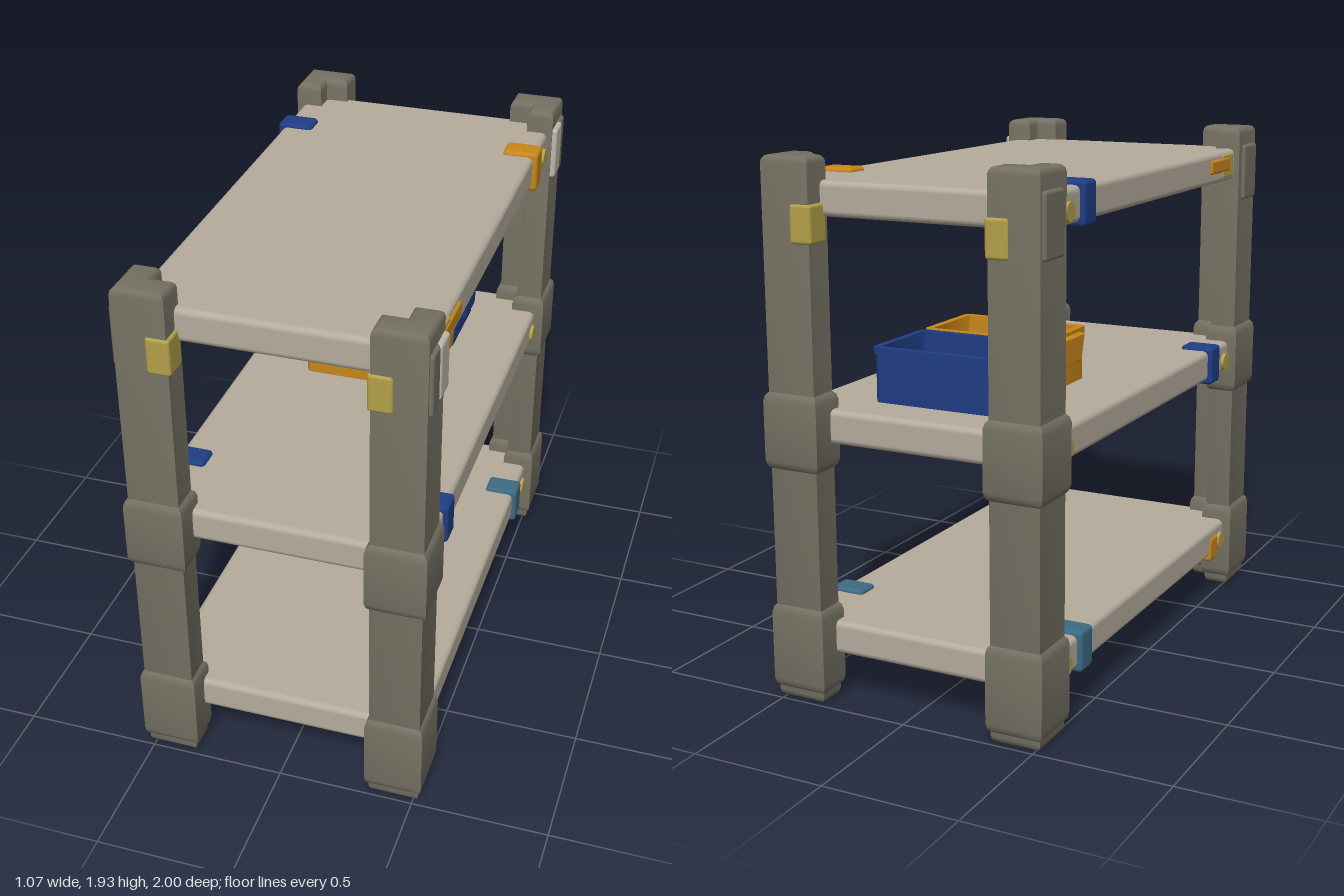
import * as THREE from 'three';
import { RoundedBoxGeometry } from 'three/addons/geometries/RoundedBoxGeometry.js';
import { toCreasedNormals } from 'three/addons/utils/BufferGeometryUtils.js';

const material = (name, color) => Object.assign(new THREE.MeshStandardMaterial({ color }), { name });

export function createModel() {
  const model = new THREE.Group();
  model.name = 'shelvingUnit';
  const postGrey = material('postGrey', 0x747062);
  const shelfGrey = material('shelfGrey', 0xb5ac9d);
  const plateGrey = material('plateGrey', 0xbfb8ab);
  const orange = material('orange', 0xc8871a);
  const blue = material('blue', 0x1f3d85);
  const steelBlue = material('steelBlue', 0x3d6a85);
  const yellow = material('yellow', 0xb3a04a);

  const add = (parent, name, geometry, mat, x = 0, y = 0, z = 0) => {
    const mesh = new THREE.Mesh(geometry, mat);
    mesh.name = name;
    mesh.position.set(x, y, z);
    parent.add(mesh);
    return mesh;
  };
  const box = (parent, name, mat, size, pos, radius = 0.012) =>
    add(parent, name, new RoundedBoxGeometry(...size, 2, radius), mat, ...pos);

  // Upright length of L-section with softened edges; swell widens it into a sleeve
  const angleSection = (sx, sz, y0, y1, swell, chamfer) => {
    const b = 0.022;
    const points = [
      [0.52 - b, 0.985 - b], [0.335 + b, 0.985 - b], [0.335 + b, 0.875 + b],
      [0.42 + b, 0.875 + b], [0.42 + b, 0.8 + b], [0.52 - b, 0.8 + b],
    ].map(([x, z]) => new THREE.Vector2(sx * x, -sz * z));
    const geometry = new THREE.ExtrudeGeometry(new THREE.Shape(points), {
      depth: y1 - y0 - 2 * chamfer, bevelEnabled: true,
      bevelSize: b + swell, bevelThickness: chamfer, bevelSegments: 3,
    });
    geometry.rotateX(-Math.PI / 2).translate(0, y0 + chamfer, 0);
    return toCreasedNormals(geometry, 0.7);
  };

  // Four corner posts with sleeves at the shelf joints
  for (const sx of [-1, 1]) for (const sz of [-1, 1]) {
    const post = new THREE.Group();
    post.name = 'cornerPost';
    add(post, 'upright', angleSection(sx, sz, 0, 1.93, 0, 0.025), postGrey);
    add(post, 'footSleeve', angleSection(sx, sz, 0.03, 0.36, 0.013, 0.04), postGrey);
    add(post, 'middleSleeve', angleSection(sx, sz, 0.84, 1.13, 0.015, 0.04), postGrey);
    box(post, 'topSleeve', postGrey, [0.04, 0.22, 0.14], [sx * 0.513, 1.75, sz * 0.905]);
    box(post, 'postBracket', yellow, [0.085, 0.135, 0.1], [sx * 0.367, 1.705, sz * 0.942]);
    if (sx > 0) box(post, 'sidePlate', plateGrey, [0.03, 0.2, 0.1], [0.524, 1.76, sz * 0.855]);
    model.add(post);
  }

  // Shelves: a thin panel framed by four rails, hollow underneath
  const levels = [0.23, 1.0, 1.785];
  for (const y of levels) {
    const shelf = new THREE.Group();
    shelf.name = 'shelf';
    box(shelf, 'panel', shelfGrey, [0.94, 0.035, 1.76], [0, y + 0.043, 0], 0.01);
    for (const s of [-1, 1]) {
      box(shelf, 'sideRail', shelfGrey, [0.06, 0.122, 1.78], [s * 0.468, y, 0], 0.022);
      box(shelf, 'endRail', shelfGrey, [0.86, 0.122, 0.06], [0, y, s * 0.883], 0.022);
      // Small pins beside the posts
      for (const end of [-1, 1]) {
        if (y > 1.5 && end > 0) continue;
        const pin = add(shelf, 'railPin', new THREE.CylinderGeometry(0.033, 0.036, 0.016, 12),
          yellow, s * 0.502, y - 0.015, end * 0.745);
        pin.rotation.z = -s * Math.PI / 2;
      }
    }
    model.add(shelf);
  }

  // Clips wrapped over the side rails: [colour, side, shelf level, z]
  const clips = [
    [orange, 1, 2, -0.605], [blue, -1, 2, -0.605],
    [blue, 1, 1, 0.61], [blue, -1, 1, 0.61],
    [steelBlue, 1, 0, -0.605], [steelBlue, -1, 0, -0.605],
  ];
  for (const [mat, side, level, z] of clips)
    box(model, 'railClip', mat, [0.135, 0.152, 0.097], [side * 0.448, levels[level], z], 0.015);
  box(model, 'lowerClip', orange, [0.09, 0.1, 0.09], [-0.46, 0.2, 0.68], 0.015);

  // Label strips on the top side rails
  for (const s of [-1, 1]) {
    box(model, 'railStrip', orange, [0.022, 0.055, 0.2], [s * 0.497, 1.793, 0.635], 0.01);
    box(model, 'stripBacking', yellow, [0.014, 0.09, 0.11], [s * 0.496, 1.787, 0.725], 0.006);
  }

  // Rounded rectangle outline
  const roundedRect = (Type, hx, hz, r) => {
    const p = new Type();
    const k = Math.PI / 2;
    p.absarc(hx - r, hz - r, r, 0, k);
    p.absarc(-hx + r, hz - r, r, k, 2 * k);
    p.absarc(-hx + r, -hz + r, r, 2 * k, 3 * k);
    p.absarc(hx - r, -hz + r, r, 3 * k, 4 * k);
    p.closePath();
    return p;
  };
  const ring = (hx, hz, wall, height) => {
    const shape = roundedRect(THREE.Shape, hx, hz, 0.025);
    shape.holes.push(roundedRect(THREE.Path, hx - wall, hz - wall, 0.015));
    const geometry = new THREE.ExtrudeGeometry(shape, { depth: height, bevelEnabled: false, curveSegments: 4 });
    return toCreasedNormals(geometry.rotateX(-Math.PI / 2), 0.7);
  };

  // Open storage bins with a rim and a sloped grip on each end
  const grip = new THREE.Shape([[-0.09, 0.09], [0.09, 0.09], [0.065, 0], [-0.065, 0]]
    .map(([x, y]) => new THREE.Vector2(x, y)));
  for (const [name, mat, z, depth] of [['orangeBin', orange, -0.228, 0.325], ['blueBin', blue, -0.575, 0.35]]) {
    const bin = new THREE.Group();
    bin.name = name;
    bin.position.set(0, 1.062, z);
    add(bin, 'walls', ring(0.247, depth / 2 - 0.006, 0.018, 0.19), mat);
    add(bin, 'rim', ring(0.253, depth / 2, 0.026, 0.025), mat, 0, 0.172, 0);
    box(bin, 'floor', mat, [0.48, 0.03, depth - 0.03], [0, 0.017, 0]);
    for (const s of [-1, 1]) {
      const handle = add(bin, 'grip', new THREE.ExtrudeGeometry(grip, {
        depth: 0.03, bevelEnabled: true, bevelSize: 0.004, bevelThickness: 0.004, bevelSegments: 1,
      }), mat, s * 0.245, 0.09, 0);
      handle.rotation.y = s * Math.PI / 2;
    }
    model.add(bin);
  }
  return model;
}
